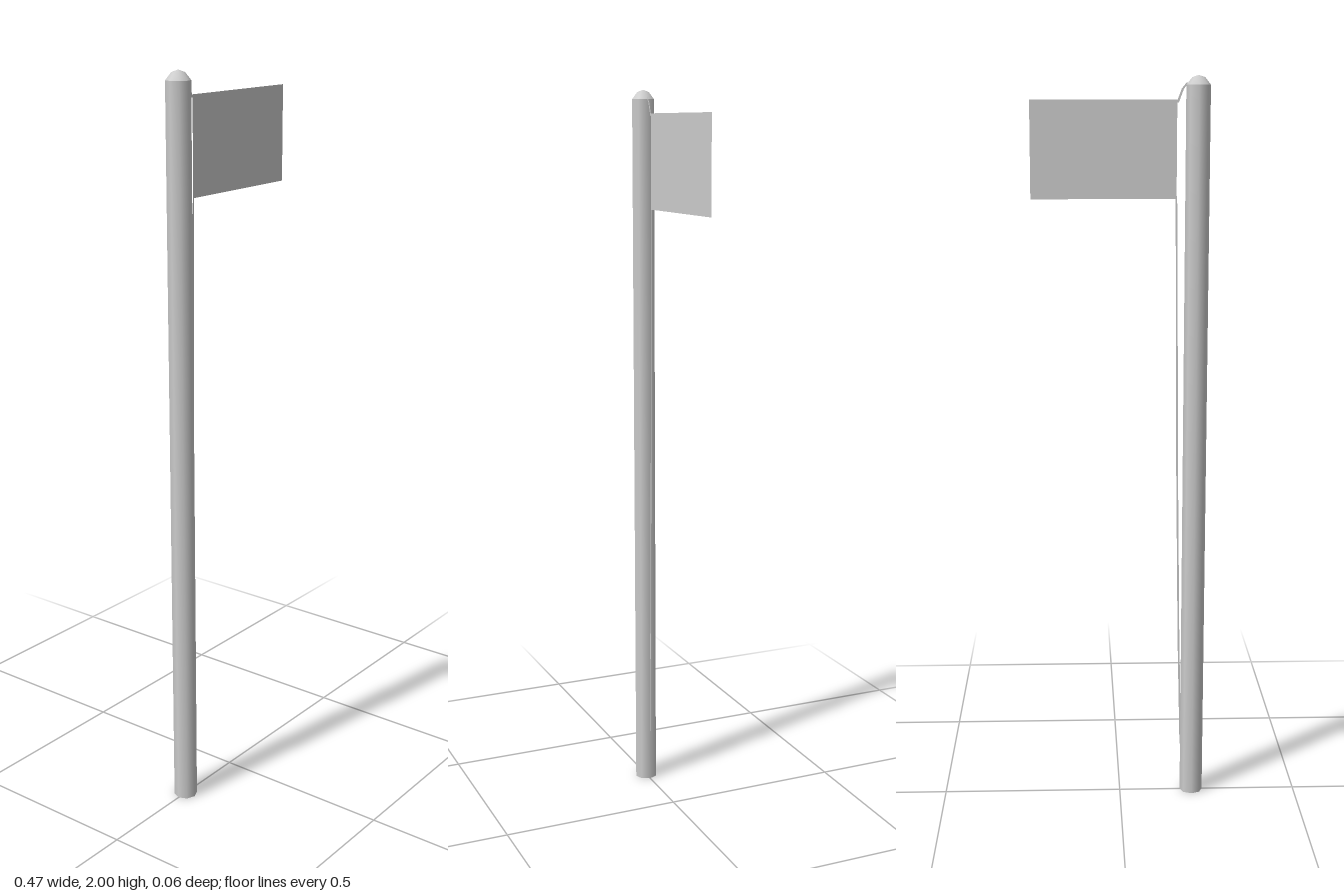
import * as THREE from 'three';

export function createModel() {
  const group = new THREE.Group();
  const material = new THREE.MeshStandardMaterial({ color: 0xcccccc, side: THREE.DoubleSide });
  const add = (name, geometry, x = 0, y = 0) => {
    const mesh = new THREE.Mesh(geometry, material);
    mesh.name = name;
    mesh.position.set(x, y, 0);
    group.add(mesh);
  };

  const poleX = -0.205, radius = 0.032, shoulder = 1.975;

  // Eight-sided pole, open at the foot
  add('pole', new THREE.CylinderGeometry(radius, radius, shoulder, 8, 1, true), poleX, shoulder / 2);

  // Blunt pointed cap
  const capProfile = [[radius, 0], [0.017, 0.019], [0, 0.025]].map(([r, y]) => new THREE.Vector2(r, y));
  add('poleCap', new THREE.LatheGeometry(capProfile, 8), poleX, shoulder);

  // Flat flag
  add('flag', new THREE.PlaneGeometry(0.385, 0.255), 0.0425, 1.81);

  // Flat rope: a thin ribbon along a centre line of [x, y]
  const ribbon = (points, width) => {
    const shape = new THREE.Shape();
    points.forEach(([x, y], i) => (i ? shape.lineTo(x - width / 2, y) : shape.moveTo(x - width / 2, y)));
    [...points].reverse().forEach(([x, y]) => shape.lineTo(x + width / 2, y));
    return new THREE.ShapeGeometry(shape);
  };
  add('upperRope', ribbon([[-0.176, 1.98], [-0.164, 1.965], [-0.151, 1.93]], 0.006), 0, 0);
  add('lowerRope', ribbon([[-0.149, 1.69], [-0.151, 1.6], [-0.157, 1], [-0.166, 0.45], [-0.174, 0.14]], 0.005), 0, 0);

  return group;
}
